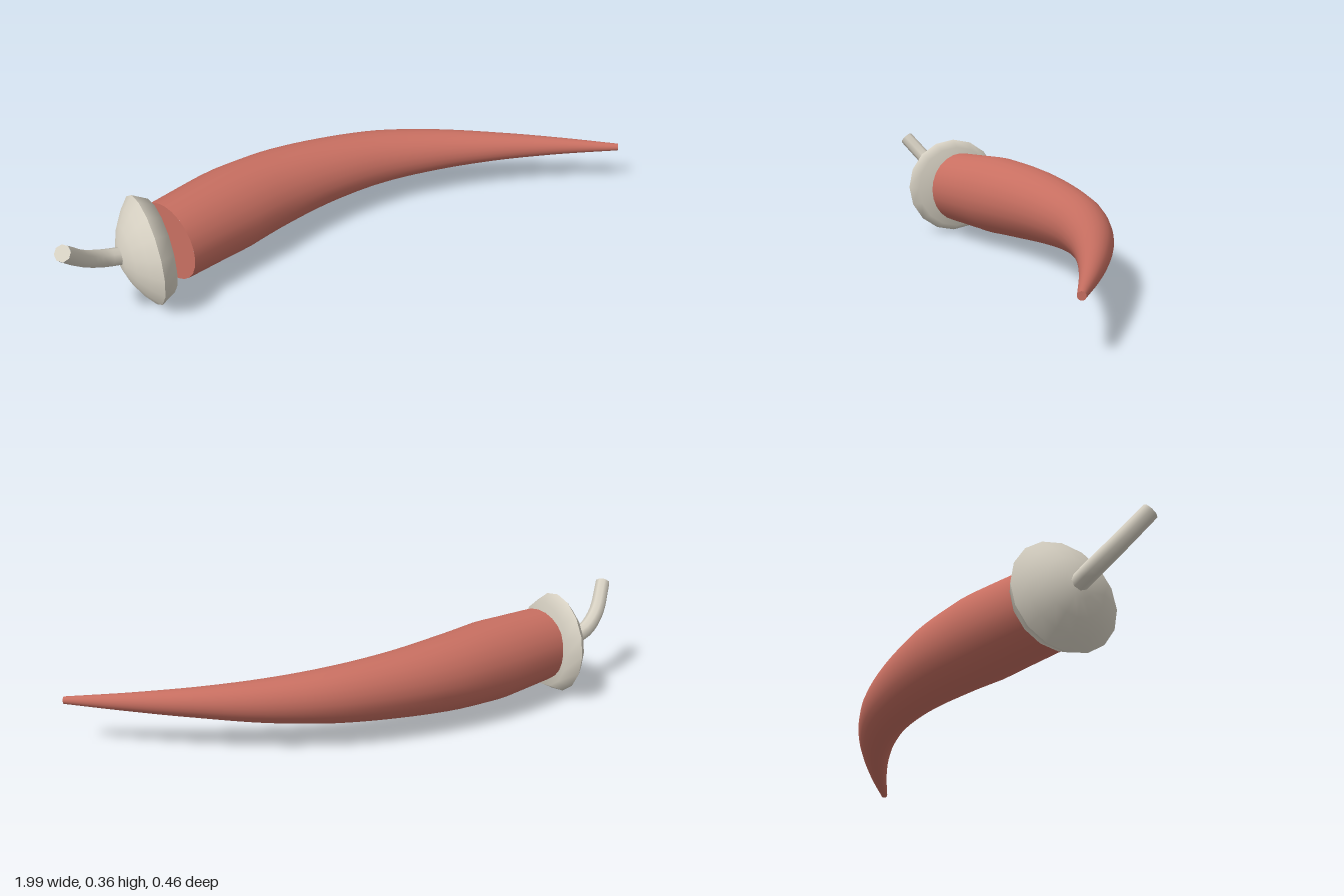
import * as THREE from 'three';

const red = new THREE.MeshStandardMaterial({ color: 0xc86f61 });
red.name = 'pepper red';
const beige = new THREE.MeshStandardMaterial({ color: 0xd6d0c2 });
beige.name = 'stalk beige';

// Tapered round sweep; each station is [x, y, z, radius]. Both ends are closed.
function sweep(name, stations, segments, sides, material) {
  const group = new THREE.Group();
  group.name = name;
  const curve = new THREE.CatmullRomCurve3(stations.map(s => new THREE.Vector3(s[0], s[1], s[2])));
  const last = stations.length - 1;
  const radiusAt = u => {
    const t = curve.getUtoTmapping(u) * last;
    const i = Math.min(Math.floor(t), last - 1);
    return THREE.MathUtils.lerp(stations[i][3], stations[i + 1][3], t - i);
  };

  const geometry = new THREE.TubeGeometry(curve, segments, 1, sides);
  const pos = geometry.attributes.position;
  const v = new THREE.Vector3();
  for (let i = 0; i <= segments; i++) {
    const centre = curve.getPointAt(i / segments);
    const radius = radiusAt(i / segments);
    for (let j = 0; j <= sides; j++) {
      const k = i * (sides + 1) + j;
      v.fromBufferAttribute(pos, k).sub(centre).multiplyScalar(radius).add(centre);
      pos.setXYZ(k, v.x, v.y, v.z);
    }
  }
  const skin = new THREE.Mesh(geometry, material);
  skin.name = name + 'Skin';
  group.add(skin);

  // End discs
  for (const u of [0, 1]) {
    const disc = new THREE.Mesh(new THREE.CircleGeometry(radiusAt(u), sides), material);
    const facing = curve.getTangentAt(u).multiplyScalar(u ? 1 : -1);
    disc.quaternion.setFromUnitVectors(new THREE.Vector3(0, 0, 1), facing);
    disc.position.copy(curve.getPointAt(u));
    disc.name = name + (u ? 'End' : 'Start');
    group.add(disc);
  }
  return group;
}

// Turned piece around the x axis; each profile point is [x, radius].
function turned(name, profile) {
  const points = profile.map(([x, r]) => new THREE.Vector2(r, x));
  const geometry = new THREE.LatheGeometry(points, 16).rotateZ(-Math.PI / 2);
  const mesh = new THREE.Mesh(geometry, beige);
  mesh.name = name;
  mesh.position.set(0, 0.177, 0.027);
  return mesh;
}

export function createModel() {
  const model = new THREE.Group();
  model.name = 'chiliPepper';

  // Curved, tapering fruit
  model.add(sweep('body', [
    [-0.63, 0.18, 0.022, 0.13],
    [-0.4, 0.179, -0.05, 0.139],
    [-0.2, 0.176, -0.1, 0.127],
    [0, 0.172, -0.121, 0.109],
    [0.2, 0.168, -0.113, 0.092],
    [0.4, 0.163, -0.066, 0.072],
    [0.6, 0.16, 0.012, 0.05],
    [0.8, 0.157, 0.11, 0.03],
    [0.987, 0.154, 0.215, 0.012],
  ], 40, 24, red));

  // Cap: domed back and tapering skirt meeting at a sharp rim
  model.add(turned('capDome', [
    [-0.79, 0], [-0.787, 0.045], [-0.768, 0.095], [-0.741, 0.14], [-0.71, 0.177],
  ]));
  model.add(turned('capSkirt', [[-0.71, 0.177], [-0.662, 0.152], [-0.66, 0]]));

  // Bent stem
  model.add(sweep('stem', [
    [-0.77, 0.18, 0.026, 0.028],
    [-0.84, 0.201, 0.038, 0.028],
    [-0.91, 0.25, 0.075, 0.027],
    [-0.978, 0.338, 0.143, 0.026],
  ], 12, 8, beige));

  return model;
}
